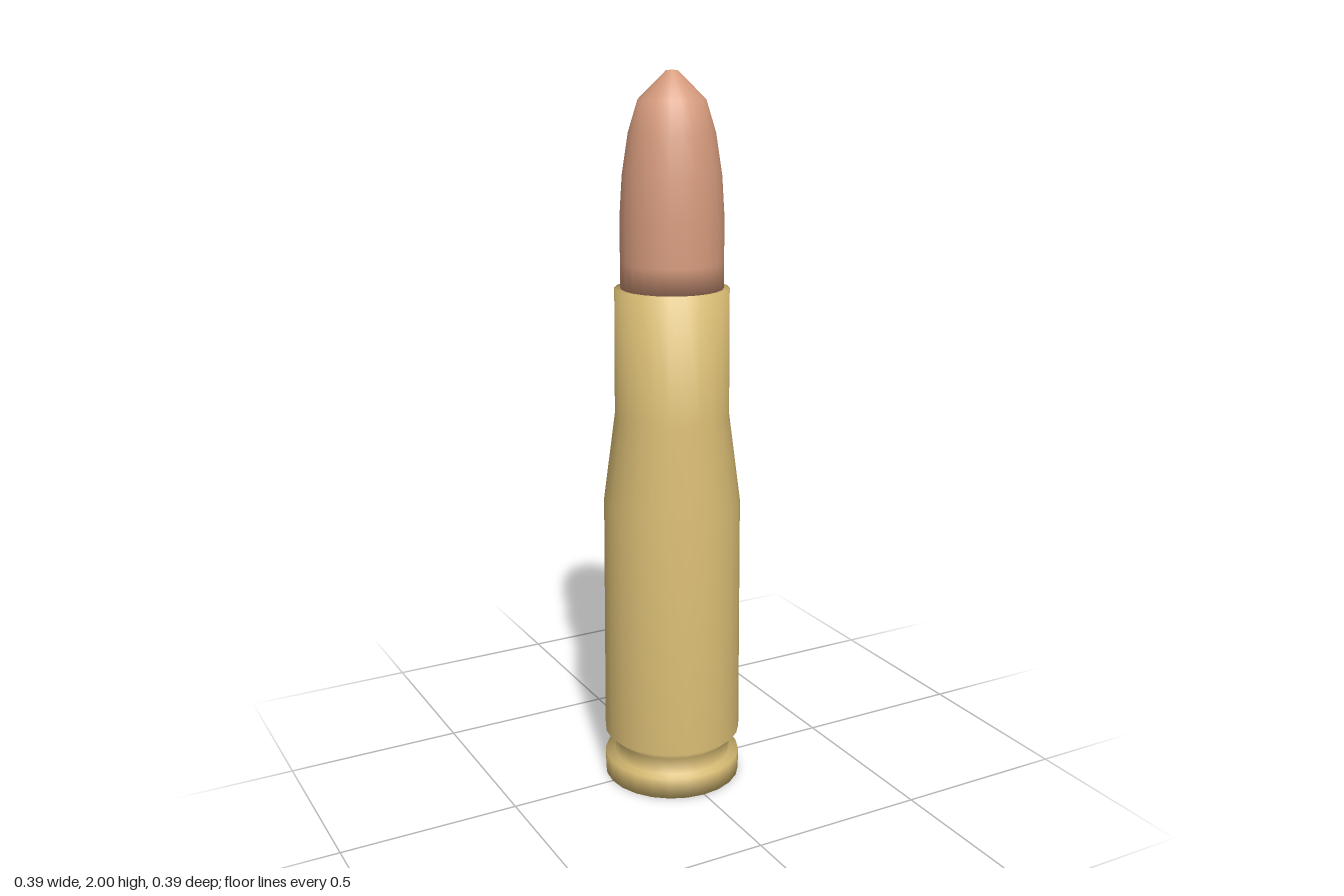
import * as THREE from 'three';

const SIDES = 24;

// Smooth turned part from [radius, height] pairs, listed bottom to top
function turned(name, profile, material) {
  const points = profile.map(([r, y]) => new THREE.Vector2(r, y));
  const mesh = new THREE.Mesh(new THREE.LatheGeometry(points, SIDES), material);
  mesh.name = name;
  return mesh;
}

export function createModel() {
  const brass = new THREE.MeshStandardMaterial({ color: 0xdcbf76 });
  brass.name = 'brass';
  const copper = new THREE.MeshStandardMaterial({ color: 0xd69b7d });
  copper.name = 'copper';

  const group = new THREE.Group();
  group.name = 'cartridge';

  // Case: base, rim, extractor groove, body, shoulder, neck and mouth
  group.add(turned('case', [
    [0, 0], [0.195, 0],
    [0.195, 0.06], [0.168, 0.062],
    [0.168, 0.11], [0.195, 0.135],
    [0.191, 0.83], [0.158, 1.08],
    [0.156, 1.43], [0, 1.43],
  ], brass));

  // Pointed bullet seated on the mouth
  group.add(turned('bullet', [
    [0, 1.425], [0.14, 1.425],
    [0.14, 1.5], [0.14, 1.62],
    [0.133, 1.73], [0.116, 1.84],
    [0.09, 1.925], [0.016, 1.998], [0, 2],
  ], copper));

  return group;
}
